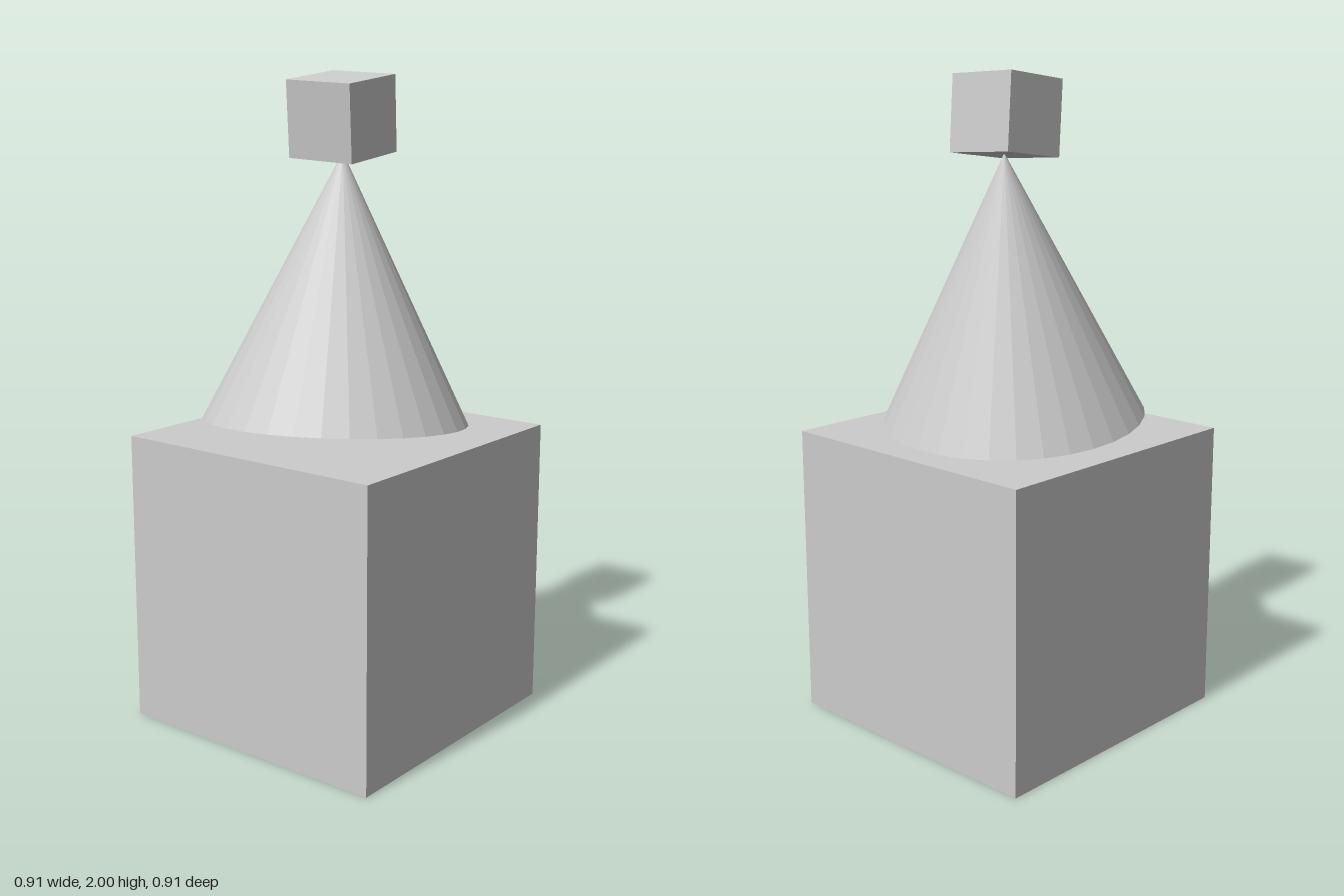
import * as THREE from 'three';

const material = new THREE.MeshStandardMaterial({ color: 0xcccccc, flatShading: true });

function addPart(group, name, geometry, position, rotation = [0, 0, 0]) {
  const mesh = new THREE.Mesh(geometry, material);
  mesh.name = name;
  mesh.position.set(...position);
  mesh.rotation.set(...rotation);
  group.add(mesh);
}

export function createModel() {
  const group = new THREE.Group();
  group.name = 'stackedBlocks';

  // Large cube standing on the ground
  const size = 0.906;
  addPart(group, 'baseCube', new THREE.BoxGeometry(size, 0.91, size), [0, 0.455, 0]);

  // Capped cone, tipped so its rim rests on the cube
  addPart(group, 'cone', new THREE.ConeGeometry(0.408, 0.814, 32),
    [-0.003, 1.357, 0.001], [-0.041, -0.016, -0.095]);

  // Small cube balanced on the tip
  addPart(group, 'topCube', new THREE.BoxGeometry(0.23, 0.23, 0.23),
    [0.004, 1.868, 0.007], [0.053, 0.033, 0.122]);

  return group;
}
